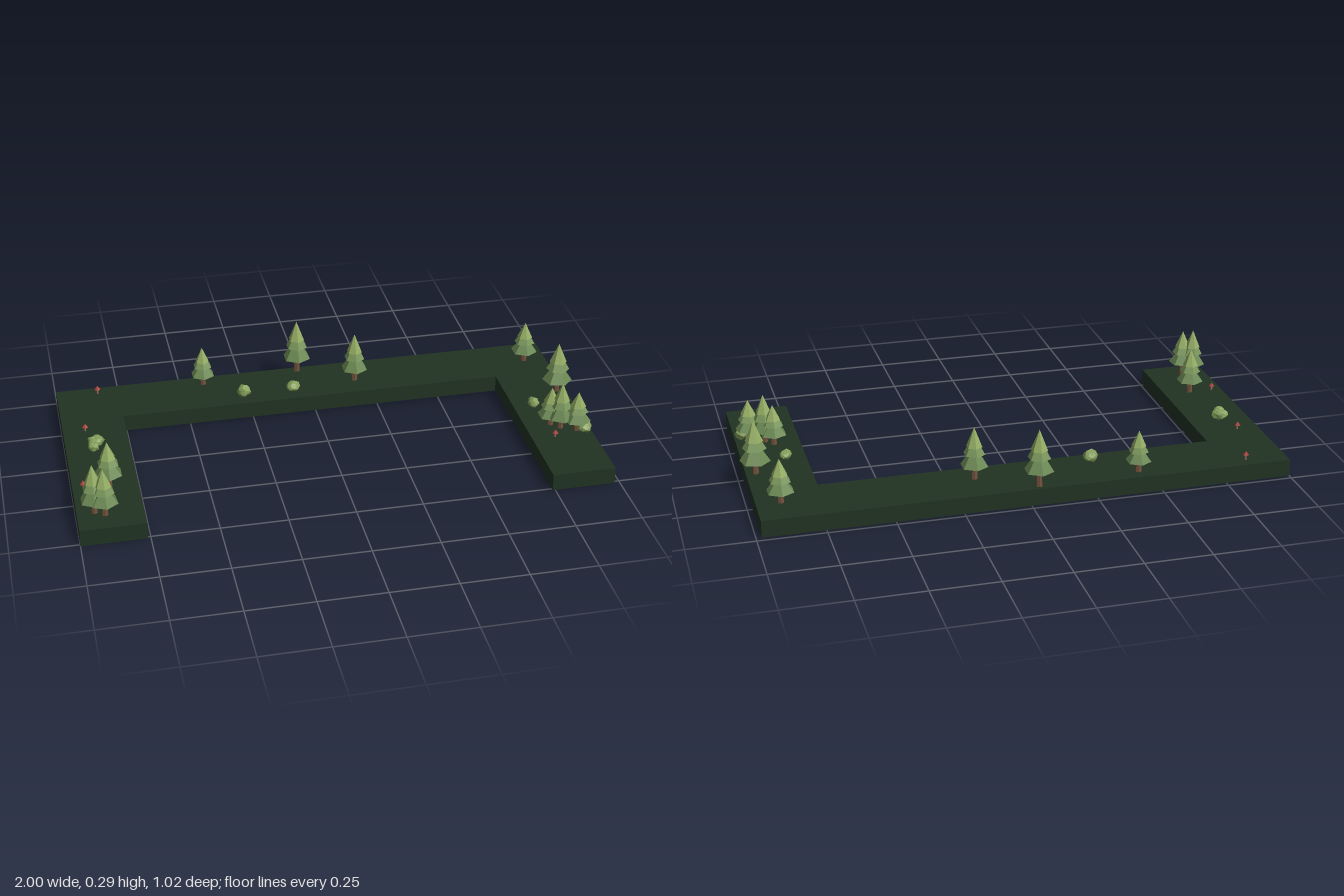
import * as THREE from 'three';

const mat = (name, color, flatShading = true) => {
  const m = new THREE.MeshStandardMaterial({ color, flatShading });
  m.name = name;
  return m;
};
const GROUND = 0.065;

export function createModel() {
  const model = new THREE.Group();
  model.name = 'forestBorder';
  const soil = mat('darkGreenGround', 0x203323);
  const bark = mat('brownBark', 0x73533d);
  const leafLow = mat('deepLeaf', 0x6a8752);
  const leafMid = mat('midLeaf', 0x78935a);
  const leafTop = mat('lightLeaf', 0x94ad64);
  const bushGreen = mat('bushGreen', 0x86a05c);
  const capRed = mat('mushroomRed', 0xa63f3a);
  const stemTan = mat('mushroomStem', 0x9c6a5c);

  const add = (parent, name, geometry, material, x, y, z) => {
    const mesh = new THREE.Mesh(geometry, material);
    mesh.name = name;
    mesh.position.set(x, y, z);
    parent.add(mesh);
    return mesh;
  };

  // U-shaped ground slab, open towards the front
  const outline = [[-1, -0.51], [-0.76, -0.51], [-0.76, 0.24], [0.74, 0.24],
    [0.74, -0.51], [0.98, -0.51], [0.98, 0.48], [-1, 0.48]];
  const slab = new THREE.ExtrudeGeometry(
    new THREE.Shape(outline.map(([x, y]) => new THREE.Vector2(x, y))),
    { depth: GROUND, bevelEnabled: false });
  slab.rotateX(-Math.PI / 2);
  add(model, 'ground', slab, soil, 0, 0, 0);

  // Conifers: x, z, top height, crown radius, crown height, turn
  const trees = [
    [-0.42, -0.427, 0.228, 0.048, 0.12, 0], [-0.033, -0.455, 0.288, 0.056, 0.16, 0],
    [0.178, -0.335, 0.27, 0.053, 0.152, 0], [0.89, -0.35, 0.235, 0.053, 0.125, 0],
    [0.943, -0.085, 0.275, 0.058, 0.16, 0.26], [0.84, 0.157, 0.225, 0.052, 0.118, 0],
    [0.87, 0.188, 0.258, 0.053, 0.145, 0], [0.925, 0.218, 0.23, 0.052, 0.12, 0.15],
    [-0.865, 0.237, 0.248, 0.053, 0.133, 0], [-0.935, 0.403, 0.264, 0.052, 0.146, 0],
    [-0.9, 0.425, 0.254, 0.053, 0.135, 0.1],
  ];
  // Tiers: radius, bottom and top as fractions of the crown
  const tiers = [
    ['lowerTier', 1, 0, 0.55, leafLow], ['middleTier', 0.78, 0.31, 0.8, leafMid],
    ['upperTier', 0.58, 0.5, 1, leafTop],
  ];
  for (const [x, z, top, r, h, turn] of trees) {
    const tree = new THREE.Group();
    tree.name = 'tree';
    tree.position.set(x, 0, z);
    tree.rotation.y = turn;
    const crown = top - h;
    const trunkH = crown + 0.03 - GROUND;
    add(tree, 'trunk', new THREE.CylinderGeometry(0.009, 0.012, trunkH, 6), bark,
      0, GROUND + trunkH / 2, 0);
    for (const [name, k, low, high, leaf] of tiers) {
      add(tree, name, new THREE.ConeGeometry(r * k, h * (high - low), 6), leaf,
        0, crown + h * (low + high) / 2, 0);
    }
    model.add(tree);
  }

  // Faceted bushes: x, z, half width, half depth, top height
  const bushes = [
    [-0.275, -0.3, 0.028, 0.028, 0.113], [-0.078, -0.302, 0.028, 0.027, 0.106],
    [-0.885, -0.05, 0.033, 0.03, 0.105], [-0.897, -0.012, 0.022, 0.022, 0.1],
    [0.818, 0.012, 0.023, 0.028, 0.102], [0.95, 0.235, 0.028, 0.03, 0.11],
  ];
  bushes.forEach(([x, z, rx, rz, top], i) => {
    const g = new THREE.IcosahedronGeometry(1, 1);
    const p = g.attributes.position;
    const v = new THREE.Vector3();
    for (let j = 0; j < p.count; j++) {
      v.fromBufferAttribute(p, j);
      // uneven bulges that agree on shared corners
      v.multiplyScalar(0.94 + 0.12 * Math.sin(5.1 * v.x + 7.3 * v.y + 6.2 * v.z + i * 1.7));
      p.setXYZ(j, v.x, v.y, v.z);
    }
    g.computeVertexNormals();
    const half = (top - GROUND) / 2 + 0.001;
    add(model, 'bush', g, bushGreen, x, top - half, z).scale.set(rx, half, rz);
  });

  // Small mushrooms: x, z, top height
  for (const [x, z, top] of [[-0.84, -0.435, 0.1], [-0.915, -0.162, 0.096],
    [-0.96, 0.235, 0.096], [0.83, 0.25, 0.096]]) {
    const mushroom = new THREE.Group();
    mushroom.name = 'mushroom';
    mushroom.position.set(x, 0, z);
    const stemH = top - 0.008 - GROUND;
    add(mushroom, 'stem', new THREE.CylinderGeometry(0.003, 0.004, stemH, 6), stemTan,
      0, GROUND + stemH / 2, 0);
    add(mushroom, 'cap', new THREE.ConeGeometry(0.012, 0.015, 6), capRed, 0, top - 0.0075, 0);
    model.add(mushroom);
  }
  return model;
}
